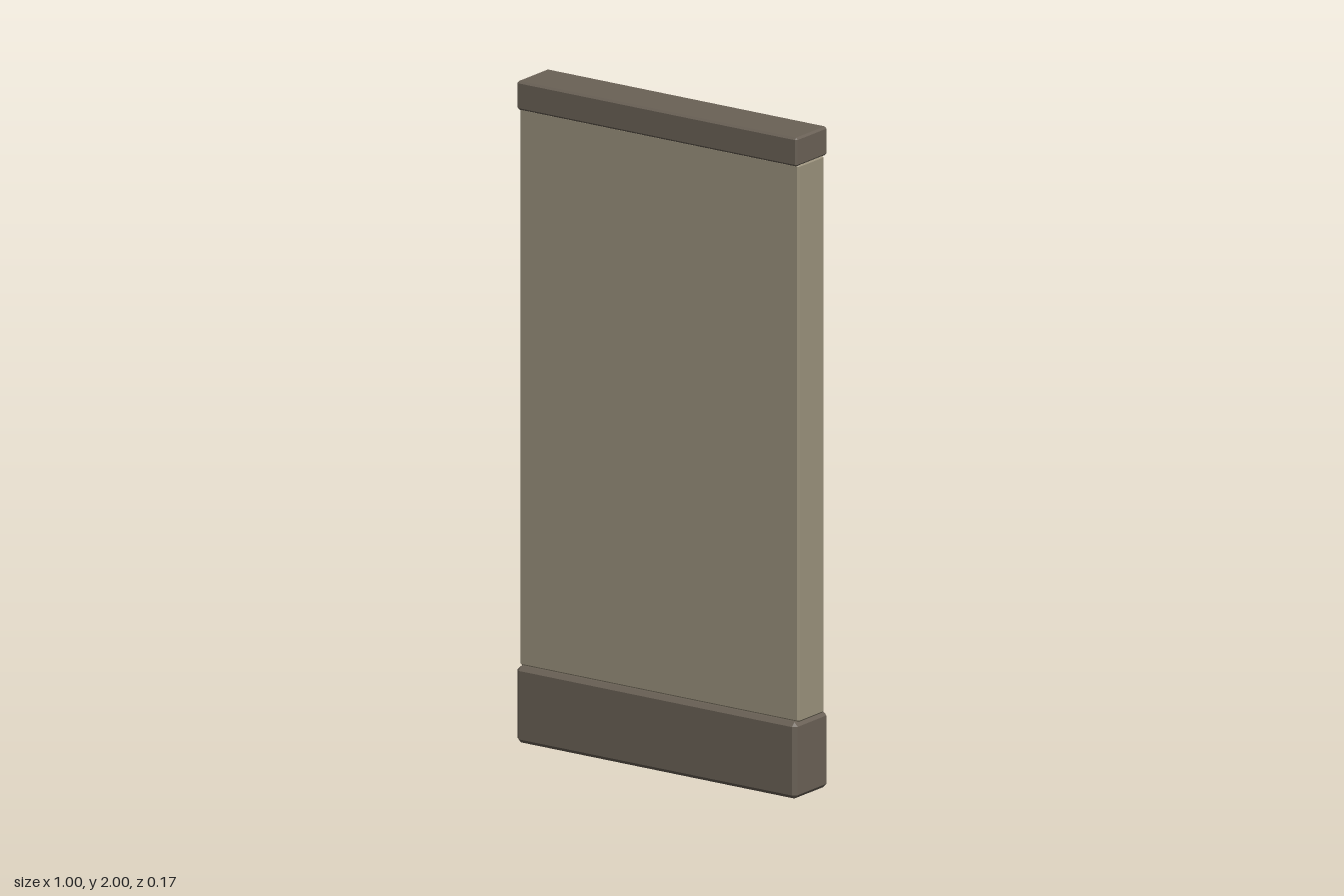
import * as THREE from 'three';
import { ConvexGeometry } from 'three/addons/geometries/ConvexGeometry.js';

// Box with every edge chamfered by c, spanning y0 to y1
function chamferBox(name, width, y0, y1, depth, c, material) {
  const hx = width / 2, hy = (y1 - y0) / 2, hz = depth / 2;
  const points = [];
  for (const sx of [-1, 1]) for (const sy of [-1, 1]) for (const sz of [-1, 1]) {
    points.push(
      new THREE.Vector3(sx * hx, sy * (hy - c), sz * (hz - c)),
      new THREE.Vector3(sx * (hx - c), sy * hy, sz * (hz - c)),
      new THREE.Vector3(sx * (hx - c), sy * (hy - c), sz * hz)
    );
  }
  const mesh = new THREE.Mesh(new ConvexGeometry(points), material);
  mesh.name = name;
  mesh.position.y = (y0 + y1) / 2;
  return mesh;
}

export function createModel() {
  const trim = new THREE.MeshStandardMaterial({ color: 0x6a6156 });
  trim.name = 'dark trim';
  const plaster = new THREE.MeshStandardMaterial({ color: 0x9a917c });
  plaster.name = 'beige wall';

  const group = new THREE.Group();
  group.name = 'wallSection';
  group.add(
    chamferBox('baseboard', 1.0, 0, 0.231, 0.166, 0.012, trim),
    chamferBox('wallPanel', 0.998, 0.229, 1.916, 0.128, 0.006, plaster),
    chamferBox('topCap', 1.0, 1.913, 2, 0.154, 0.006, trim)
  );
  return group;
}
